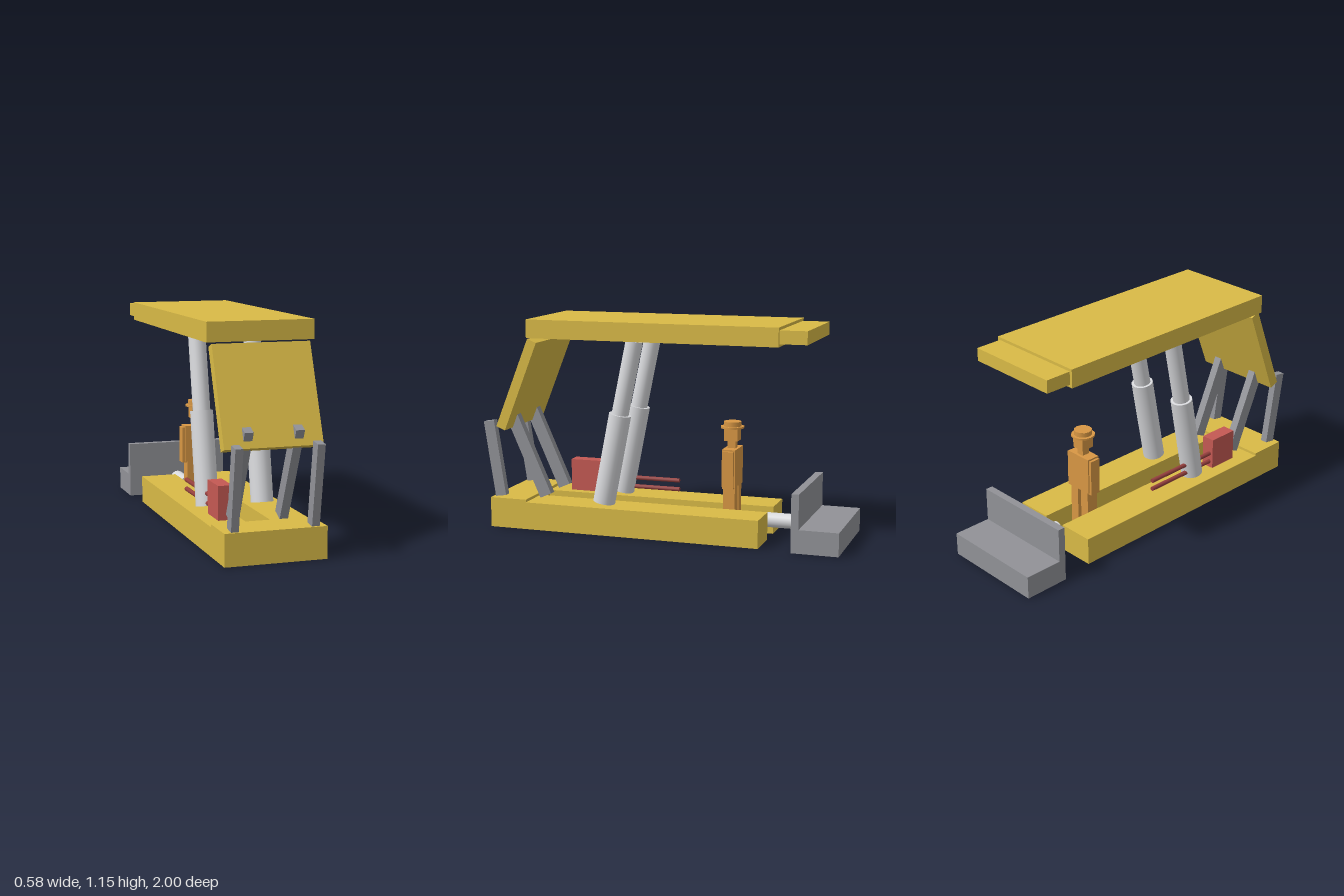
import * as THREE from 'three';

const material = (name, color) => {
  const m = new THREE.MeshStandardMaterial({ color });
  m.name = name;
  return m;
};

export function createModel() {
  const model = new THREE.Group();
  model.name = 'roofSupport';
  const yellow = material('yellow paint', 0xd9ba46);
  const grey = material('steel grey', 0x919297);
  const silver = material('polished silver', 0xd8d9dc);
  const red = material('red', 0xc45953);
  const pipeRed = material('dark red', 0x96403e);
  const orange = material('orange', 0xd89744);

  const add = (name, geometry, mat, parent = model) => {
    const mesh = new THREE.Mesh(geometry, mat);
    mesh.name = name;
    parent.add(mesh);
    return mesh;
  };
  // Box given by its limits on each axis
  const box = (name, mat, [x0, x1], [y0, y1], [z0, z1], parent) => {
    const mesh = add(name, new THREE.BoxGeometry(x1 - x0, y1 - y0, z1 - z0), mat, parent);
    mesh.position.set((x0 + x1) / 2, (y0 + y1) / 2, (z0 + z1) / 2);
  };
  // Part running between two [y, z] points at a given x
  const between = (name, mat, x, [y0, z0], [y1, z1], makeGeometry) => {
    const length = Math.hypot(y1 - y0, z1 - z0);
    const mesh = add(name, makeGeometry(length), mat);
    mesh.position.set(x, (y0 + y1) / 2, (z0 + z1) / 2);
    mesh.rotation.x = Math.atan2(z1 - z0, y1 - y0);
  };
  const beam = (w, d) => (len) => new THREE.BoxGeometry(w, len, d);
  const tube = (r, sides = 20) => (len) => new THREE.CylinderGeometry(r, r, len, sides);

  // Base: front block with two rails and an open gap
  box('baseFront', yellow, [-0.265, 0.265], [0, 0.165], [0.74, 0.95]);
  for (const s of [-1, 1]) {
    box('baseRail', yellow, s < 0 ? [-0.265, -0.065] : [0.065, 0.265], [0, 0.15], [-0.57, 0.74]);
  }

  // Canopy, its sliding extension and the sloping shield
  box('canopy', yellow, [-0.28, 0.28], [1.055, 1.155], [-0.67, 0.715]);
  box('canopyExtension', yellow, [-0.265, 0.265], [1.07, 1.14], [-0.815, -0.67]);
  between('shield', yellow, 0, [0.552, 0.887], [1.038, 0.694], beam(0.51, 0.055));

  // Link bars and hydraulic legs on both sides
  for (const s of [-1, 1]) {
    between('frontLink', grey, s * 0.208, [0.169, 0.906], [0.584, 0.97], beam(0.04, 0.062));
    between('rearLink', grey, s * 0.131, [0.169, 0.67], [0.654, 0.887], beam(0.045, 0.07));
    between('legCylinder', silver, s * 0.152, [0.16, 0.324], [0.648, 0.228], tube(0.06));
    between('legPiston', silver, s * 0.152, [0.64, 0.23], [1.048, 0.145], tube(0.046));
  }

  // Valve box with two hoses
  box('valveBox', red, [-0.19, -0.115], [0.15, 0.327], [0.453, 0.625]);
  for (const y of [0.185, 0.235]) {
    between('hose', pipeRed, -0.165, [y, 0.46], [y, -0.005], tube(0.012, 10));
  }

  // Push ram and conveyor
  between('ramCylinder', silver, 0, [0.094, -0.55], [0.094, -0.745], tube(0.04));
  between('ramRod', silver, 0, [0.094, -0.74], [0.094, -0.76], tube(0.026));
  box('conveyorPan', grey, [-0.29, 0.29], [0, 0.125], [-1, -0.75]);
  box('conveyorWall', grey, [-0.29, 0.29], [0.125, 0.31], [-0.79, -0.75]);

  // Standing figure in the gap
  const figure = new THREE.Group();
  figure.name = 'figure';
  figure.position.z = -0.356;
  model.add(figure);
  box('torso', orange, [-0.077, 0.077], [0.272, 0.475], [-0.037, 0.037], figure);
  box('neck', orange, [-0.02, 0.02], [0.475, 0.515], [-0.022, 0.022], figure);
  box('head', orange, [-0.037, 0.037], [0.515, 0.585], [-0.037, 0.037], figure);
  for (const s of [-1, 1]) {
    box('leg', orange, s < 0 ? [-0.065, -0.012] : [0.012, 0.065], [0, 0.272], [-0.033, 0.033], figure);
    box('arm', orange, s < 0 ? [-0.092, -0.06] : [0.06, 0.092], [0.265, 0.466], [-0.03, 0.03], figure);
  }
  add('helmetBrim', new THREE.CylinderGeometry(0.064, 0.064, 0.01, 12), orange, figure).position.y = 0.587;
  add('helmetCrown', new THREE.CylinderGeometry(0.048, 0.048, 0.028, 12), orange, figure).position.y = 0.604;

  return model;
}
